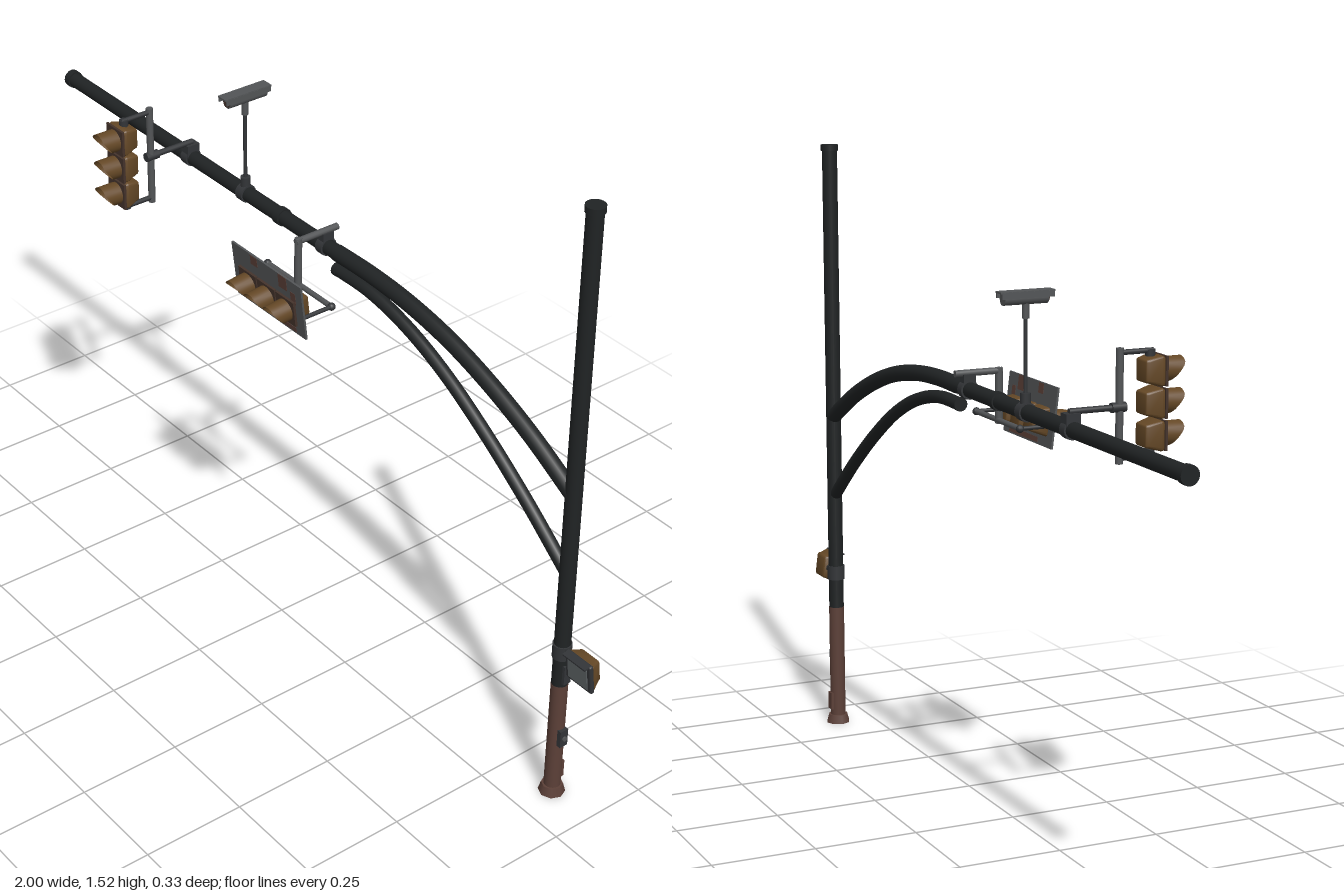
import * as THREE from 'three';
import { toCreasedNormals } from 'three/addons/utils/BufferGeometryUtils.js';
import { RoundedBoxGeometry } from 'three/addons/geometries/RoundedBoxGeometry.js';

const paint = (name, color, side = THREE.FrontSide) => {
  const m = new THREE.MeshStandardMaterial({ color, side });
  m.name = name;
  return m;
};

export function createModel() {
  const black = paint('black steel', 0x202324);
  const rust = paint('rusty brown', 0x5c4038);
  const grey = paint('weathered grey', 0x535557);
  const iron = paint('dark iron', 0x333538);
  const gold = paint('faded ochre', 0x654826, THREE.DoubleSide);
  const brown = paint('dark brown', 0x44332b);
  const red = paint('red lens', 0x5c3a35);
  const amber = paint('amber lens', 0x76552f);
  const pale = paint('unlit grey lens', 0x62686a);

  const model = new THREE.Group();
  model.name = 'trafficSignalMast';
  const Z = -0.095, PX = 0.88;

  const add = (parent, name, geo, mat, x = 0, y = 0, z = 0) => {
    const mesh = new THREE.Mesh(geo, mat);
    mesh.name = name;
    mesh.position.set(x, y, z);
    parent.add(mesh);
    return mesh;
  };
  const box = (parent, name, w, h, d, mat, x, y, z) =>
    add(parent, name, new THREE.BoxGeometry(w, h, d), mat, x, y, z);
  // Round bar between two points
  const rod = (parent, name, a, b, r, mat, sides = 12) => {
    const p = new THREE.Vector3(...a), q = new THREE.Vector3(...b);
    const mesh = add(parent, name, new THREE.CylinderGeometry(r, r, p.distanceTo(q), sides), mat);
    mesh.position.copy(p).add(q).multiplyScalar(0.5);
    mesh.quaternion.setFromUnitVectors(new THREE.Vector3(0, 1, 0), q.sub(p).normalize());
    return mesh;
  };
  const group = (name, x, y, z) => {
    const g = new THREE.Group();
    g.name = name;
    g.position.set(x, y, z);
    model.add(g);
    return g;
  };

  // Upright pole with rusty foot
  rod(model, 'poleFoot', [PX, 0, Z], [PX, 0.315, Z], 0.0195, rust, 20);
  rod(model, 'poleShaft', [PX, 0.315, Z], [PX, 1.51, Z], 0.019, black, 20);
  rod(model, 'poleCap', [PX, 1.505, Z], [PX, 1.52, Z], 0.022, black, 20);
  add(model, 'poleBase', new THREE.CylinderGeometry(0.025, 0.031, 0.022, 8), rust, PX, 0.011, Z);
  box(model, 'accessDoor', 0.022, 0.045, 0.008, rust, PX, 0.06, Z - 0.019);
  box(model, 'pushButtonBox', 0.012, 0.045, 0.022, iron, PX + 0.021, 0.17, Z);
  rod(model, 'pushButton', [PX + 0.026, 0.17, Z], [PX + 0.031, 0.17, Z], 0.006, grey);

  // Curved mast arm and its lower brace
  const bend = (name, pts, r) => {
    const curve = new THREE.CatmullRomCurve3(pts.map(([x, y]) => new THREE.Vector3(x, y, Z)));
    add(model, name, new THREE.TubeGeometry(curve, 40, r, 16), black);
  };
  rod(model, 'armStraight', [-0.995, 1.03, Z], [0.1, 1.03, Z], 0.018, black, 16);
  bend('armCurve', [[0.08, 1.03], [0.2, 1.031], [0.33, 1.022], [0.47, 0.997],
    [0.6, 0.957], [0.74, 0.898], [0.88, 0.822]], 0.0195);
  bend('armBrace', [[0.08, 0.988], [0.2, 0.986], [0.33, 0.958], [0.46, 0.905],
    [0.6, 0.823], [0.74, 0.725], [0.88, 0.613]], 0.0155);
  rod(model, 'braceEnd', [0.078, 0.988, Z], [0.09, 0.988, Z], 0.0165, black, 16);
  rod(model, 'armEndCap', [-1, 1.03, Z], [-0.982, 1.03, Z], 0.0215, black, 16);
  rod(model, 'armJoint', [-0.135, 1.03, Z], [-0.115, 1.03, Z], 0.0215, black, 16);

  // Housing that narrows towards the back
  const housing = (w, h, d) => {
    const geo = new RoundedBoxGeometry(w, h, d, 2, 0.008), p = geo.attributes.position;
    for (let i = 0; i < p.count; i++) {
      const k = p.getZ(i) < 0 ? 0.78 : 1;
      p.setXY(i, p.getX(i) * k, p.getY(i) * k);
    }
    return toCreasedNormals(geo, 0.6);
  };
  // Hood cut back towards its lower edge
  const hood = () => {
    const r = 0.027, geo = new THREE.CylinderGeometry(r, r, 1, 20, 1, true);
    geo.rotateX(Math.PI / 2);
    const p = geo.attributes.position;
    for (let i = 0; i < p.count; i++)
      p.setZ(i, p.getZ(i) > 0 ? 0.016 + 0.032 * Math.min(1, (p.getY(i) / r + 1) / 1.5) : 0);
    geo.computeVertexNormals();
    return geo;
  };
  const lamps = (parent, step, lenses) => lenses.forEach((lens, i) => {
    const x = step[0] * (i - 1), y = step[1] * (i - 1);
    add(parent, 'housing', housing(0.067, 0.067, 0.044), gold, x, y, -0.023);
    box(parent, 'facePlate', 0.065, 0.065, 0.006, brown, x, y, 0.001);
    const disc = add(parent, 'lens', new THREE.SphereGeometry(0.026, 20, 8, 0, Math.PI * 2, 0, Math.PI / 2),
      lens, x, y, 0.003);
    disc.rotation.x = Math.PI / 2;
    disc.scale.y = 0.25;
    add(parent, 'hood', hood(), gold, x, y, 0.002);
  });

  // Vertical signal head
  const SX = -0.485;
  const tall = group('verticalSignal', SX, 1.073, 0.116);
  lamps(tall, [0, -0.07], [red, amber, pale]);
  rod(tall, 'topNipple', [0, 0.1, -0.023], [0, 0.115, -0.023], 0.011, iron);
  rod(tall, 'bottomNipple', [0, -0.12, -0.023], [0, -0.1, -0.023], 0.011, iron);

  // Bracket for the vertical signal
  const hold = group('verticalBracket', SX, 0, 0);
  rod(hold, 'post', [0, 0.945, 0.02], [0, 1.195, 0.02], 0.0085, grey);
  rod(hold, 'topArm', [0, 1.185, 0.02], [0, 1.185, 0.1], 0.006, iron);
  rod(hold, 'bottomArm', [0, 0.957, 0.02], [0, 0.957, 0.1], 0.006, iron);
  rod(hold, 'link', [0, 1.068, -0.1], [0, 1.068, 0.02], 0.007, iron);
  rod(hold, 'linkCollar', [0, 1.068, 0], [0, 1.068, 0.034], 0.011, iron);
  box(hold, 'saddle', 0.028, 0.03, 0.034, iron, 0, 1.05, Z);
  rod(hold, 'clamp', [-0.012, 1.03, Z], [0.012, 1.03, Z], 0.022, iron, 16);

  // Horizontal signal head with back plate
  const HX = 0.038;
  const wide = group('horizontalSignal', HX, 0.957, 0.068);
  wide.rotation.x = 0.12;
  lamps(wide, [0.069, 0], [pale, amber, red]);
  box(wide, 'backPlate', 0.254, 0.142, 0.005, grey, 0, 0.013, -0.005);
  [[-0.045, 0.07, 0.025, 0.024], [0.06, 0.066, 0.03, 0.035], [0.095, 0.04, 0.018, 0.03],
    [0.02, -0.048, 0.15, 0.012]].forEach(([x, y, w, h]) =>
    box(wide, 'rustPatch', w, h, 0.0065, rust, x, y, -0.005));

  // Bracket for the horizontal signal
  const yoke = group('horizontalBracket', HX, 0, 0);
  rod(yoke, 'link', [0, 1.068, -0.128], [0, 1.068, -0.01], 0.008, grey);
  rod(yoke, 'drop', [0, 0.945, -0.017], [0, 1.075, -0.017], 0.009, grey);
  rod(yoke, 'crossBar', [-0.122, 0.953, -0.02], [0.122, 0.953, -0.02], 0.0065, grey);
  for (const s of [-1, 1]) {
    rod(yoke, 'sideArm', [0.118 * s, 0.953, -0.02], [0.118 * s, 0.953, 0.064], 0.005, iron);
    add(yoke, 'elbow', new THREE.SphereGeometry(0.0095, 10, 8), iron, 0.118 * s, 0.953, -0.02);
  }
  box(yoke, 'saddle', 0.022, 0.028, 0.03, iron, 0, 1.052, Z);
  rod(yoke, 'clamp', [-0.011, 1.03, Z], [0.011, 1.03, Z], 0.0225, iron, 16);

  // Camera on a slim mast
  const CX = -0.265;
  rod(model, 'cameraClamp', [CX - 0.012, 1.03, Z], [CX + 0.012, 1.03, Z], 0.022, iron, 16);
  rod(model, 'cameraFoot', [CX, 1.04, Z], [CX, 1.072, Z], 0.012, iron);
  rod(model, 'cameraMast', [CX, 1.06, Z], [CX, 1.25, Z], 0.0045, iron);
  rod(model, 'cameraMount', [CX, 1.235, Z], [CX, 1.27, Z], 0.008, grey);
  const cam = group('camera', CX, 1.28, Z);
  rod(cam, 'body', [0, 0, -0.055], [0, 0, 0.05], 0.0145, grey, 16);
  rod(cam, 'lens', [0, 0, 0.05], [0, 0, 0.053], 0.011, brown, 16);
  box(cam, 'sunShield', 0.03, 0.004, 0.13, grey, 0, 0.0145, 0);
  for (const s of [-1, 1]) box(cam, 'shieldSide', 0.003, 0.014, 0.125, grey, 0.0145 * s, 0.008, 0);

  // Pedestrian signal box on the pole side
  const ped = group('pedestrianSignal', 0.957, 0.408, -0.088);
  ped.rotation.x = 0.13;
  add(ped, 'housing', housing(0.076, 0.076, 0.036), gold, 0, 0, -0.004);
  add(ped, 'frame', new RoundedBoxGeometry(0.08, 0.08, 0.012, 2, 0.005), iron, 0, 0, 0.012);
  box(ped, 'screen', 0.06, 0.06, 0.003, pale, 0, 0, 0.0185);
  box(ped, 'brow', 0.07, 0.004, 0.014, iron, 0, 0.037, 0.022);
  for (const s of [-1, 1]) box(ped, 'hinge', 0.008, 0.014, 0.012, iron, -0.038, 0.022 * s, 0.008);
  rod(model, 'pedestrianArm', [PX, 0.408, Z], [0.93, 0.408, Z], 0.009, iron);
  rod(model, 'pedestrianClamp', [PX, 0.39, Z], [PX, 0.426, Z], 0.022, iron, 20);
  box(model, 'pedestrianStrap', 0.01, 0.05, 0.02, iron, PX + 0.018, 0.35, Z);

  return model;
}
